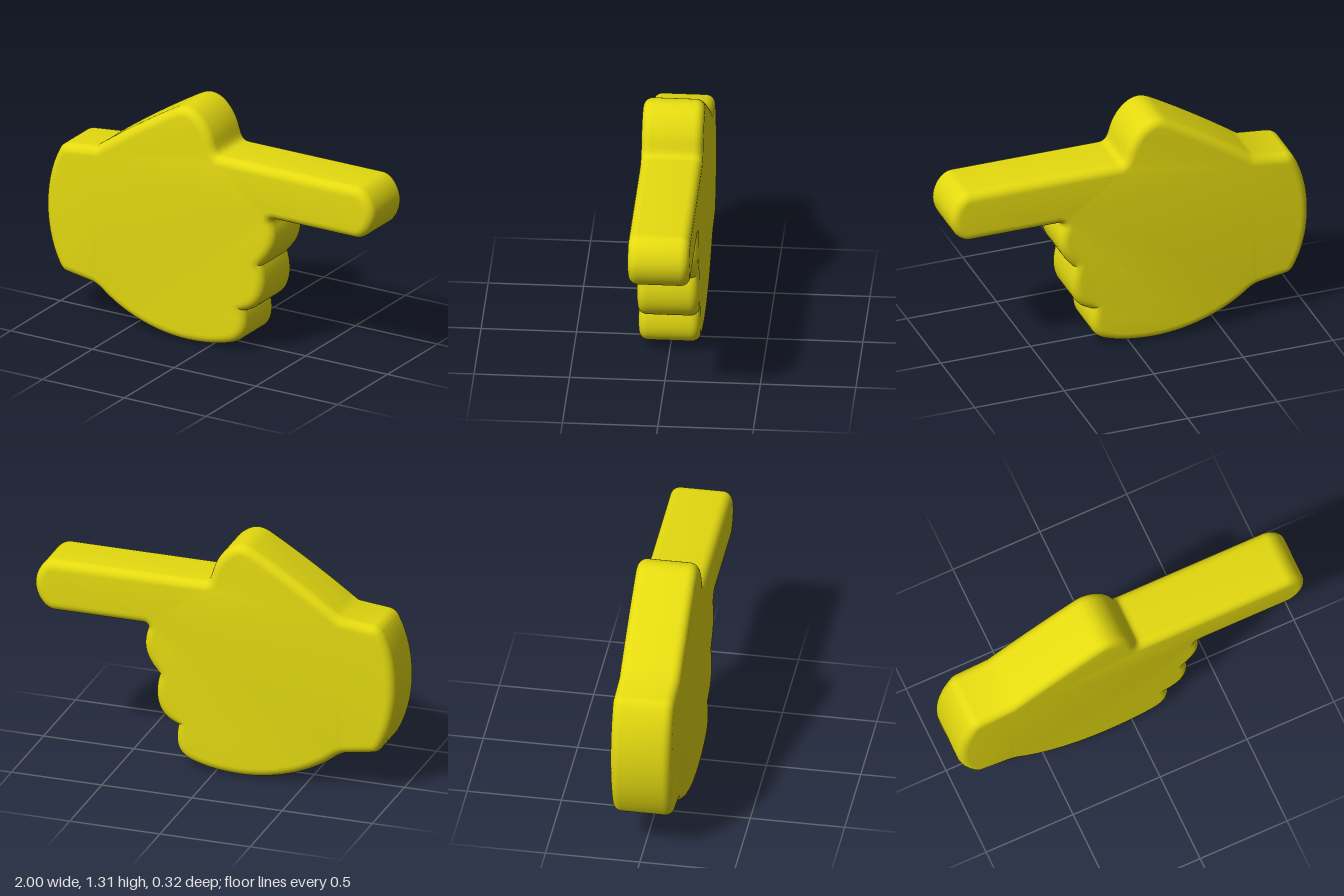
import * as THREE from 'three';
import { toCreasedNormals } from 'three/addons/utils/BufferGeometryUtils.js';

const DEPTH = 0.325; // full thickness
const BEVEL = 0.05;  // rounded rim

// Side outline of a hand with the index finger pointing to +x
function handOutline() {
  const s = new THREE.Shape();
  // wrist underside
  s.moveTo(-0.875, 0.235);
  s.lineTo(-0.72, 0.21);
  s.quadraticCurveTo(-0.685, 0.2, -0.65, 0.17);
  // heel of the palm
  s.bezierCurveTo(-0.52, 0.07, -0.33, 0.003, -0.14, 0.003);
  s.bezierCurveTo(-0.02, 0.005, 0.06, 0.02, 0.13, 0.045);
  // little finger
  s.bezierCurveTo(0.21, 0.075, 0.23, 0.14, 0.207, 0.24);
  // ring finger
  s.bezierCurveTo(0.33, 0.28, 0.345, 0.4, 0.31, 0.515);
  // middle finger
  s.bezierCurveTo(0.39, 0.6, 0.41, 0.67, 0.375, 0.765);
  s.quadraticCurveTo(0.37, 0.792, 0.4, 0.792);
  // index finger
  s.lineTo(0.89, 0.792);
  s.bezierCurveTo(0.95, 0.792, 1, 0.87, 1, 0.936);
  s.bezierCurveTo(1, 1.005, 0.95, 1.08, 0.89, 1.08);
  s.lineTo(0.075, 1.08);
  // thumb
  s.bezierCurveTo(0.035, 1.08, 0.03, 1.1, 0.015, 1.15);
  s.bezierCurveTo(-0.01, 1.24, -0.08, 1.315, -0.15, 1.315);
  s.quadraticCurveTo(-0.18, 1.315, -0.215, 1.295);
  s.quadraticCurveTo(-0.45, 1.16, -0.7, 0.98);
  // wrist top and rounded cuff end
  s.lineTo(-0.87, 0.962);
  s.quadraticCurveTo(-0.905, 0.957, -0.925, 0.925);
  s.bezierCurveTo(-1.025, 0.74, -1.025, 0.46, -0.925, 0.277);
  s.quadraticCurveTo(-0.905, 0.24, -0.875, 0.235);
  return s;
}

export function createModel() {
  const group = new THREE.Group();
  group.name = 'pointingHand';

  const yellow = new THREE.MeshStandardMaterial({ color: 0xe4da10 });
  yellow.name = 'yellow';

  const geometry = new THREE.ExtrudeGeometry(handOutline(), {
    depth: DEPTH - 2 * BEVEL,
    bevelEnabled: true,
    bevelThickness: BEVEL,
    bevelSize: BEVEL,
    bevelOffset: -BEVEL,
    bevelSegments: 6,
    curveSegments: 14,
  });
  geometry.translate(0, 0, -(DEPTH - 2 * BEVEL) / 2);

  const hand = new THREE.Mesh(toCreasedNormals(geometry, 0.6), yellow);
  hand.name = 'hand';
  group.add(hand);
  return group;
}
